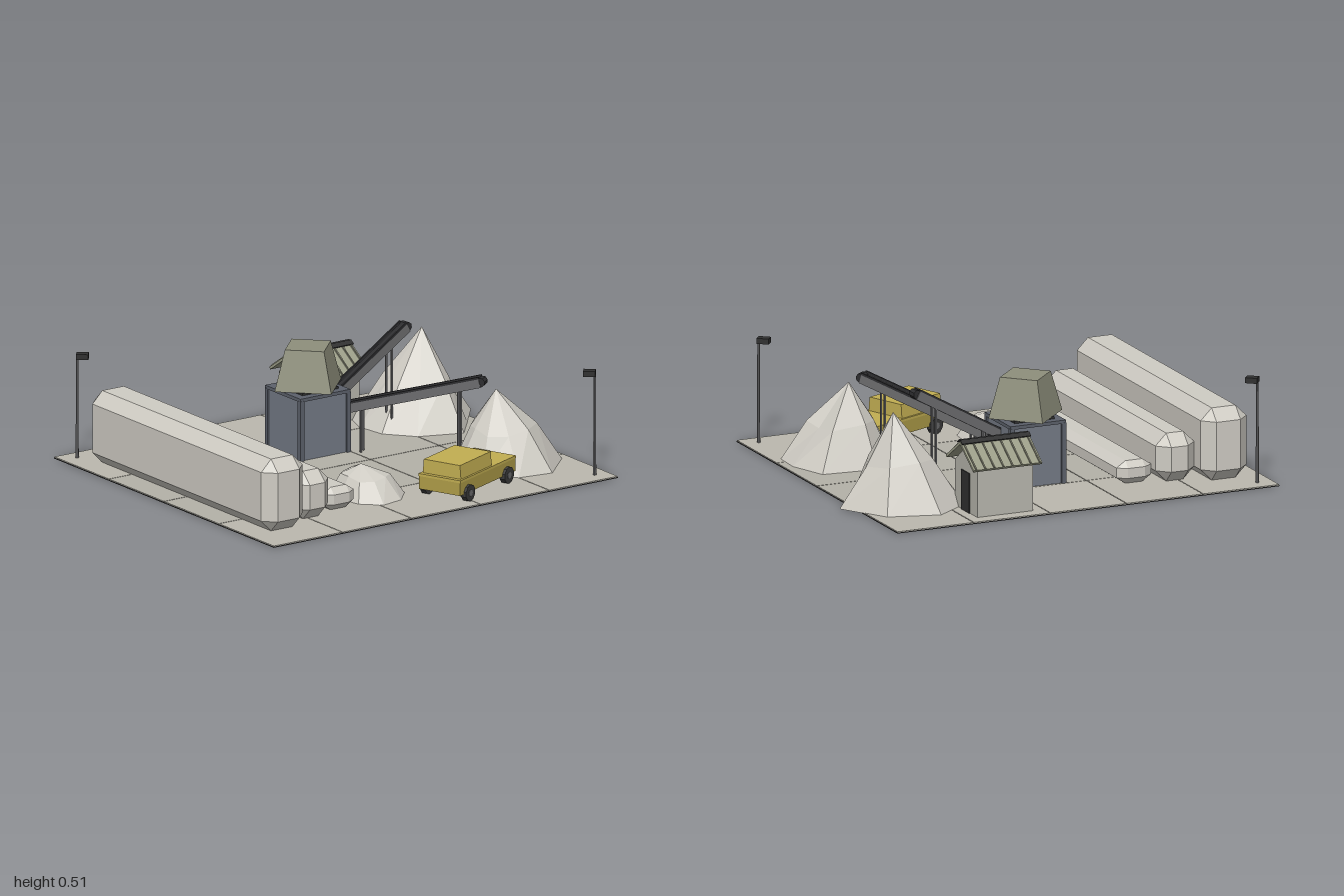
import * as THREE from 'three';
import { ConvexGeometry } from 'three/addons/geometries/ConvexGeometry.js';

const mat = (color) => new THREE.MeshStandardMaterial({ color, flatShading: true });
const M = {
  slab: mat(0xb4b2a8), slabAlt: mat(0xbbb8ae), dark: mat(0x303030), shed: mat(0xb8b7ae),
  stone: mat(0xcfccc4), steel: mat(0x747a85), steelDark: mat(0x5c616b), olive: mat(0x8e8f7c),
  roof: mat(0x9b9d87), belt: mat(0x2e2e30), frame: mat(0x6c6c6e), yellow: mat(0xc2ae52),
  yellowDark: mat(0xae9c48), tyre: mat(0x3a3a3a), glass: mat(0x66788a),
};

function add(parent, name, geo, material, x = 0, y = 0, z = 0) {
  const m = new THREE.Mesh(geo, material);
  m.name = name;
  m.position.set(x, y, z);
  parent.add(m);
  return m;
}
const box = (p, name, m, w, h, d, x, y, z) => add(p, name, new THREE.BoxGeometry(w, h, d), m, x, y, z);

function group(parent, name, x = 0, y = 0, z = 0) {
  const g = new THREE.Group();
  g.name = name;
  g.position.set(x, y, z);
  parent.add(g);
  return g;
}

// Box with every edge and corner cut off
function chamferBox(w, h, d, cx, cy, cz) {
  const pts = [], s = [-1, 1], X = w / 2, Y = h / 2, Z = d / 2;
  for (const i of s) for (const j of s) for (const k of s) {
    pts.push(new THREE.Vector3(i * X, j * (Y - cy), k * (Z - cz)),
      new THREE.Vector3(i * (X - cx), j * Y, k * (Z - cz)),
      new THREE.Vector3(i * (X - cx), j * (Y - cy), k * Z));
  }
  return new ConvexGeometry(pts);
}

// Heap: base outline [x, z], one shoulder ring and an apex [x, y, z]
function heap(outline, apex, spread, rise) {
  const [ax, ay, az] = apex, n = outline.length, v = [];
  const base = outline.map(([x, z]) => [x, 0.006, z]);
  const ring = outline.map(([x, z], i) => {
    const s = spread + 0.05 * Math.sin(i * 2.4);
    return [ax + (x - ax) * s, ay * (rise + 0.04 * Math.cos(i * 1.7)), az + (z - az) * s];
  });
  for (let i = 0; i < n; i++) {
    const j = (i + 1) % n;
    v.push(...base[j], ...base[i], ...ring[i], ...base[j], ...ring[i], ...ring[j]);
    v.push(...ring[j], ...ring[i], ax, ay, az);
  }
  const g = new THREE.BufferGeometry();
  g.setAttribute('position', new THREE.Float32BufferAttribute(v, 3));
  g.computeVertexNormals();
  return g;
}

// Inclined conveyor from a to b with supporting legs
function conveyor(parent, name, a, b, legs) {
  const A = new THREE.Vector3(...a), B = new THREE.Vector3(...b);
  const len = A.distanceTo(B);
  const g = group(parent, name);
  const boom = group(g, 'boom');
  boom.position.copy(A).lerp(B, 0.5);
  boom.lookAt(B);
  box(boom, 'belt', M.belt, 0.04, 0.03, len, 0, 0, 0);
  for (const s of [-1, 1]) {
    box(boom, 'sideRail', M.frame, 0.006, 0.042, len * 0.99, s * 0.023, -0.002, 0);
    box(boom, 'topRail', M.belt, 0.008, 0.01, len, s * 0.022, 0.023, 0);
    const drum = add(boom, 'drum', new THREE.CylinderGeometry(0.022, 0.022, 0.044, 8), M.belt, 0, 0, s * len / 2);
    drum.rotation.z = Math.PI / 2;
  }
  const dx = B.x - A.x, dz = B.z - A.z, l = Math.hypot(dx, dz);
  for (const t of legs) for (const s of [-1, 1]) {
    const p = A.clone().lerp(B, t), h = p.y - 0.015;
    box(g, 'leg', M.frame, 0.008, h, 0.008, p.x - s * 0.018 * dz / l, h / 2, p.z + s * 0.018 * dx / l);
  }
}

function buildShed(parent) {
  const g = group(parent, 'shed', 0.35, 0.006, -0.68);
  // Gabled walls
  const s = new THREE.Shape([[-0.12, 0], [0.12, 0], [0.12, 0.22], [0, 0.31], [-0.12, 0.22]]
    .map(([x, y]) => new THREE.Vector2(x, y)));
  const walls = add(g, 'walls', new THREE.ExtrudeGeometry(s, { depth: 0.28, bevelEnabled: false }), M.shed, -0.14);
  walls.rotation.y = Math.PI / 2;
  // Roof slopes with ribs
  const pitch = Math.atan2(0.1, 0.15), slope = Math.hypot(0.1, 0.15);
  for (const side of [-1, 1]) {
    const r = group(g, 'roofSlope', 0, 0.28, side * 0.073);
    r.rotation.x = side * pitch;
    box(r, 'roofPanel', M.roof, 0.345, 0.012, slope, 0, 0, 0);
    for (let i = 0; i < 8; i++) box(r, 'roofRib', M.olive, 0.006, 0.008, slope, -0.16 + i * 0.0457, 0.009, 0);
    const cap = box(r, 'ridgeCap', M.dark, 0.347, 0.006, 0.026, 0, 0.014, -side * (slope / 2 - 0.012));
    cap.position.x = 0;
  }
  box(g, 'door', M.dark, 0.008, 0.19, 0.088, 0.141, 0.095, 0.005);
  box(g, 'windowFrame', M.frame, 0.09, 0.075, 0.006, -0.05, 0.14, 0.121);
  box(g, 'windowPane', M.glass, 0.076, 0.061, 0.008, -0.05, 0.14, 0.122);
}

function buildTruck(parent) {
  const g = group(parent, 'truck', 0.253, 0, 0.626);
  g.rotation.y = 0.397;
  box(g, 'chassis', M.yellowDark, 0.474, 0.065, 0.222, 0, 0.08, 0);
  box(g, 'bodyTop', M.yellow, 0.478, 0.012, 0.226, 0, 0.115, 0);
  // Upper body, slightly narrower at the top
  const geo = new THREE.BoxGeometry(0.265, 0.066, 0.205), p = geo.attributes.position;
  for (let i = 0; i < p.count; i++) if (p.getY(i) > 0) p.setZ(i, p.getZ(i) * 0.95);
  geo.computeVertexNormals();
  add(g, 'cab', geo, M.yellow, -0.085, 0.153, 0);
  for (const x of [-0.168, 0.165]) for (const s of [-1, 1]) {
    const w = add(g, 'wheel', new THREE.CylinderGeometry(0.04, 0.04, 0.028, 10), M.tyre, x, 0.047, s * 0.11);
    w.rotation.x = Math.PI / 2;
    const hub = add(g, 'hub', new THREE.CylinderGeometry(0.016, 0.016, 0.032, 8), M.frame, x, 0.047, s * 0.11);
    hub.rotation.x = Math.PI / 2;
  }
}

export function createModel() {
  const model = new THREE.Group();
  model.name = 'quarryYard';

  // Paved ground, 5 by 4 slabs
  const ground = group(model, 'ground');
  box(ground, 'groundBase', M.dark, 1.925, 0.004, 1.74, -0.0375, 0.002, 0);
  for (let i = 0; i < 5; i++) for (let j = 0; j < 4; j++) {
    box(ground, 'slab', (i * 3 + j) % 3 ? M.slab : M.slabAlt, 0.381, 0.006, 0.431,
      -0.8075 + i * 0.385, 0.005, -0.6525 + j * 0.435);
  }

  // Three long stepped stone blocks: x centre, width, height, length, bevels
  for (const [x, w, h, d, cx, cy] of [
    [-0.81, 0.23, 0.342, 1.445, 0.055, 0.055],
    [-0.598, 0.195, 0.227, 1.3, 0.055, 0.055],
    [-0.413, 0.175, 0.107, 1.16, 0.045, 0.03],
  ]) add(model, 'longBlock', chamferBox(w, h, d, cx, cy, cy), M.stone, x, 0.008 + h / 2, -0.003);

  // Crusher tower with hopper
  const tower = group(model, 'tower', 0.012, 0, -0.293);
  box(tower, 'towerBody', M.steel, 0.265, 0.285, 0.265, 0, 0.148, 0);
  for (const sx of [-1, 1]) for (const sz of [-1, 1]) {
    box(tower, 'cornerPost', M.steelDark, 0.022, 0.288, 0.022, sx * 0.13, 0.15, sz * 0.13);
  }
  box(tower, 'towerRim', M.steelDark, 0.28, 0.016, 0.28, 0, 0.298, 0);
  box(tower, 'hopperSeat', M.dark, 0.2, 0.016, 0.2, 0, 0.309, 0);
  add(tower, 'hopper', new THREE.CylinderGeometry(0.128, 0.186, 0.19, 4), M.olive, 0, 0.41, 0);

  conveyor(model, 'backConveyor', [0.14, 0.235, -0.287], [0.585, 0.488, -0.334], [0.18, 0.78]);
  conveyor(model, 'frontConveyor', [0.145, 0.205, -0.205], [0.54, 0.395, 0.335], [0.14, 0.84]);

  // Heaps of gravel
  add(model, 'tallHeap', heap([[0.62, -0.69], [0.86, -0.62], [0.995, -0.395], [0.86, -0.23], [0.745, -0.095],
    [0.54, -0.17], [0.43, -0.3], [0.41, -0.45], [0.45, -0.57]], [0.735, 0.44, -0.415], 0.55, 0.48), M.stone);
  add(model, 'frontHeap', heap([[0.555, 0.14], [0.82, 0.165], [0.885, 0.35], [0.88, 0.49], [0.71, 0.655],
    [0.54, 0.63], [0.42, 0.51], [0.375, 0.375], [0.425, 0.27]], [0.585, 0.365, 0.385], 0.58, 0.5), M.stone);
  add(model, 'smallHeap', heap([[-0.145, 0.235], [-0.04, 0.33], [-0.01, 0.43], [-0.02, 0.52], [-0.1, 0.605],
    [-0.215, 0.63], [-0.3, 0.55], [-0.325, 0.43], [-0.305, 0.32], [-0.235, 0.25]], [-0.18, 0.145, 0.4], 0.62, 0.67), M.stone);

  buildShed(model);
  buildTruck(model);

  // Lamp posts in two opposite corners, heads facing the yard
  for (const [x, z, a] of [[-0.922, -0.795, -0.7], [0.85, 0.79, Math.PI - 0.7]]) {
    const lamp = group(model, 'lampPost', x, 0, z);
    lamp.rotation.y = a;
    add(lamp, 'pole', new THREE.CylinderGeometry(0.006, 0.008, 0.48, 6), M.frame, 0, 0.246, 0);
    box(lamp, 'lampHead', M.dark, 0.056, 0.026, 0.042, 0.024, 0.493, 0);
  }
  return model;
}
